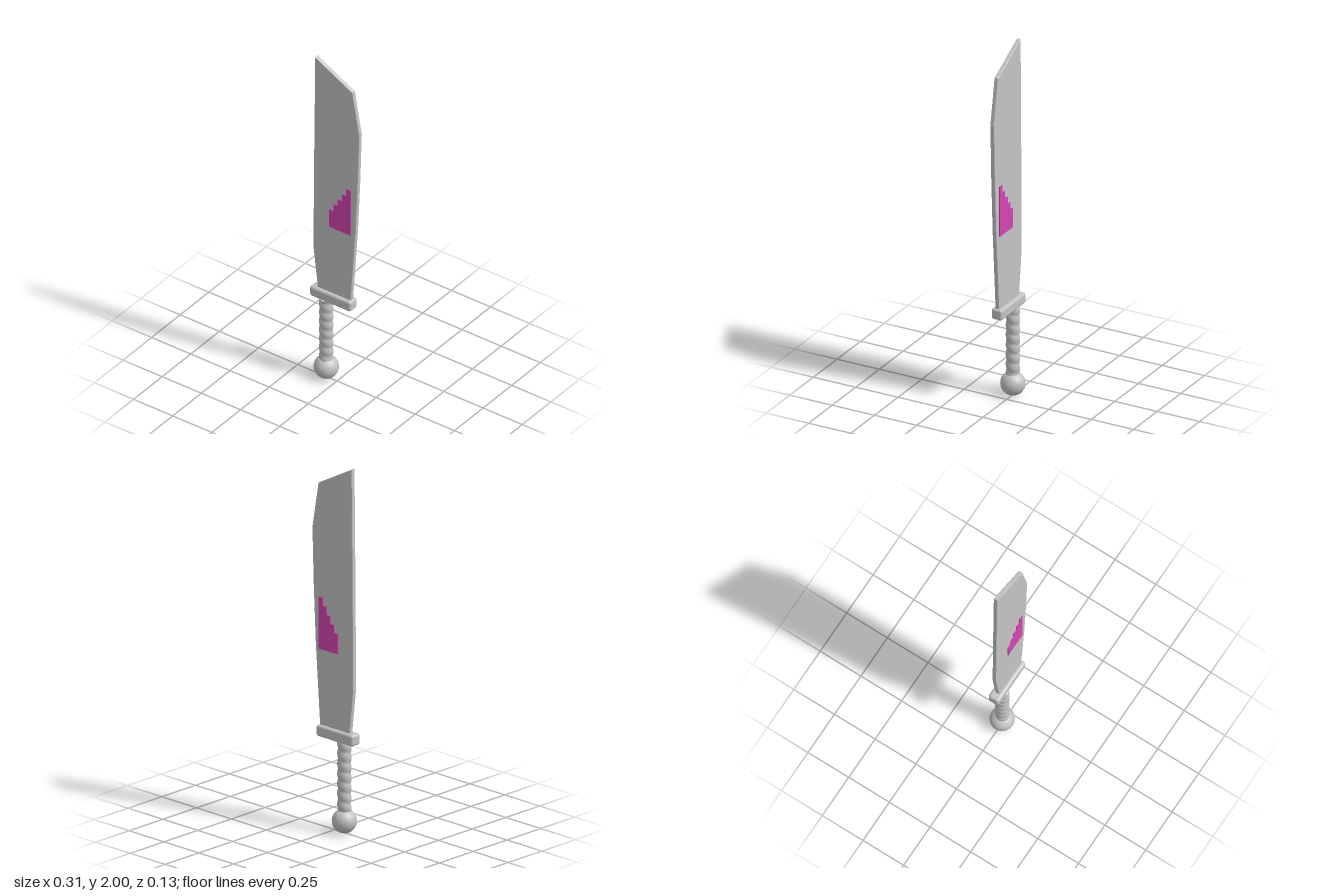
import * as THREE from 'three';
import { RoundedBoxGeometry } from 'three/addons/geometries/RoundedBoxGeometry.js';

const HANDLE_X = -0.068;

// Extrude an outline to a slab centred on z = 0, with an inset bevel
function slab(points, thickness, bevel) {
  const shape = new THREE.Shape(points.map(([x, y]) => new THREE.Vector2(x, y)));
  const geo = new THREE.ExtrudeGeometry(shape, {
    depth: thickness - 2 * bevel,
    bevelEnabled: bevel > 0,
    bevelSize: bevel,
    bevelOffset: -bevel,
    bevelThickness: bevel,
    bevelSegments: 2,
  });
  return geo.translate(0, 0, -thickness / 2 + bevel);
}

// Cylinder whose radius swells along a helix, like a wound cord
function woundGrip(radius, swell, height, pitch) {
  const geo = new THREE.CylinderGeometry(radius, radius, height, 24, 64, true);
  const p = geo.attributes.position;
  for (let i = 0; i < p.count; i++) {
    const x = p.getX(i), y = p.getY(i), z = p.getZ(i);
    const phase = Math.PI * y / pitch - Math.atan2(z, x) / 2;
    const r = radius + swell * (Math.abs(Math.sin(phase)) - 0.5);
    p.setXYZ(i, x / radius * r, y, z / radius * r);
  }
  geo.computeVertexNormals();
  return geo;
}

export function createModel() {
  const steel = new THREE.MeshStandardMaterial({ color: 0xc4c4c4 });
  steel.name = 'steel grey';
  const magenta = new THREE.MeshStandardMaterial({ color: 0xd445b3 });
  magenta.name = 'magenta';

  const group = new THREE.Group();
  const add = (name, geo, mat, x = 0, y = 0) => {
    const mesh = new THREE.Mesh(geo, mat);
    mesh.name = name;
    mesh.position.set(x, y, 0);
    group.add(mesh);
  };

  // Broad blade with a slanted tip
  add('blade', slab([
    [-0.112, 0.53], [0.095, 0.53], [0.128, 1.0], [0.143, 1.32], [0.152, 1.62],
    [0.108, 1.872], [-0.131, 2.0], [-0.138, 1.4], [-0.143, 0.8],
  ], 0.024, 0.004), steel);

  // Stepped inlay standing proud on both faces
  const steps = 5, left = -0.037, right = 0.099, low = 1.08, high = 1.253;
  const outline = [[right, 0.97]];
  for (let i = steps - 1; i >= 0; i--) {
    const y = low + (high - low) * i / (steps - 1);
    const w = (right - left) / steps;
    outline.push([left + w * (i + 1), y], [left + w * i, y]);
  }
  outline.push([left, 0.97]);
  add('steppedInlay', slab(outline, 0.035, 0), magenta);

  // Guard, grip and pommel
  add('guard', new RoundedBoxGeometry(0.262, 0.062, 0.064, 2, 0.014), steel, -0.023, 0.525);
  add('grip', woundGrip(0.035, 0.005, 0.39, 0.055), steel, HANDLE_X, 0.305);
  add('pommel', new THREE.SphereGeometry(0.066, 20, 14), steel, HANDLE_X, 0.067);

  return group;
}
